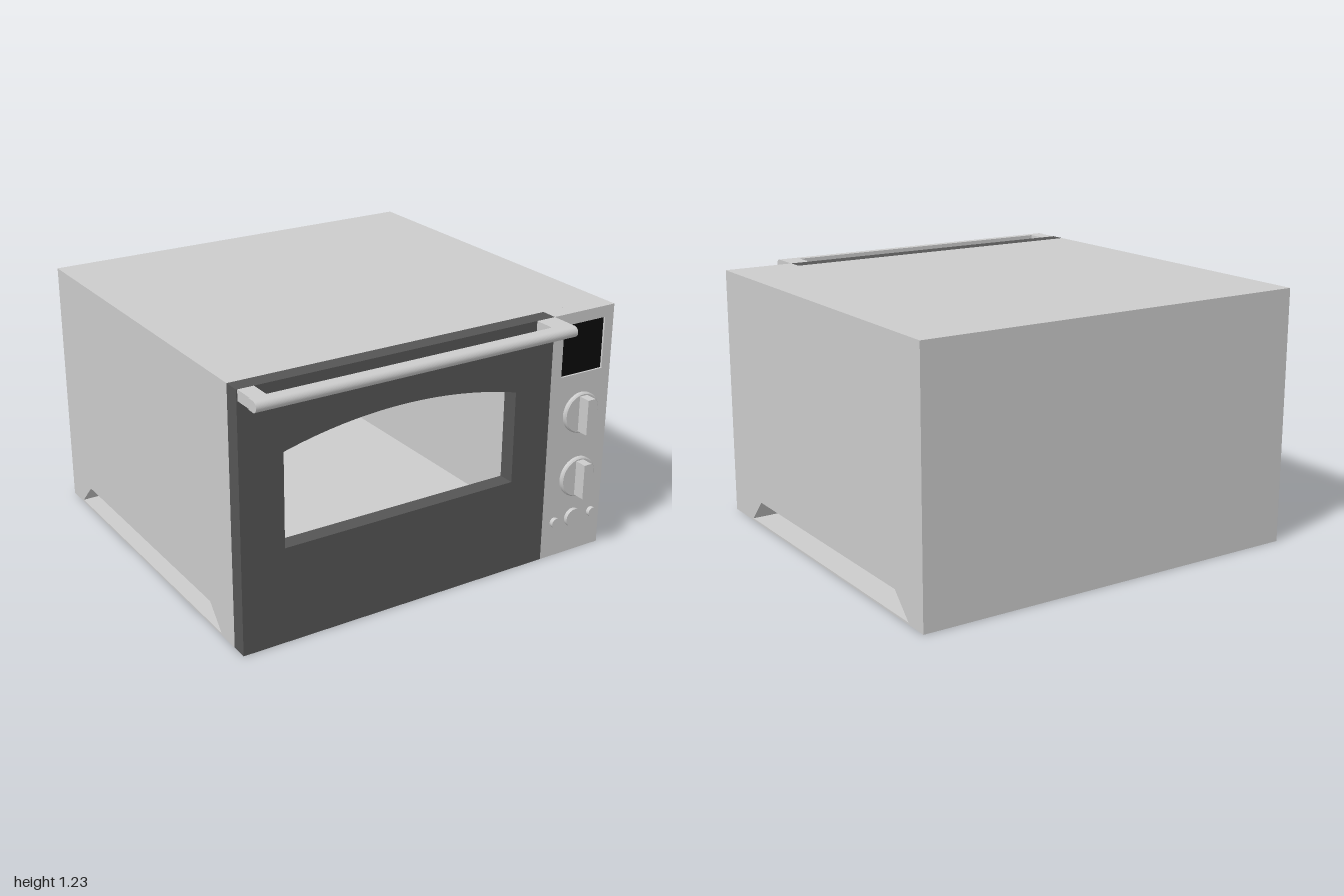
import * as THREE from 'three';

const grey = new THREE.MeshStandardMaterial({ color: 0xcccccc });
const dark = new THREE.MeshStandardMaterial({ color: 0x555555 });
const black = new THREE.MeshStandardMaterial({ color: 0x0a0a0a });

const W = 0.98, H = 1.225, BACK = -1, FRONT = 0.84, DOOR_BACK = 0.76, SPLIT = 0.63;

function rect(x0, x1, y0, y1, Type = THREE.Shape) {
  const s = new Type();
  s.moveTo(x0, y0).lineTo(x1, y0).lineTo(x1, y1).lineTo(x0, y1).closePath();
  return s;
}

function part(name, geometry, material = grey) {
  const m = new THREE.Mesh(geometry, material);
  m.name = name;
  return m;
}

function box(x0, x1, y0, y1, z0, z1) {
  return new THREE.BoxGeometry(x1 - x0, y1 - y0, z1 - z0)
    .translate((x0 + x1) / 2, (y0 + y1) / 2, (z0 + z1) / 2);
}

// Front outline pushed along z
function extrudeZ(shape, z0, z1) {
  return new THREE.ExtrudeGeometry(shape, { depth: z1 - z0, bevelEnabled: false, curveSegments: 24 })
    .translate(0, 0, z0);
}

// Side outline drawn in (z, y), pushed along x
function extrudeX(shape, x0, x1) {
  return new THREE.ExtrudeGeometry(shape, { depth: x1 - x0, bevelEnabled: false, curveSegments: 12 })
    .rotateY(-Math.PI / 2).translate(x1, 0, 0);
}

function disc(r, x, y, z0, z1, chamfer = 0) {
  const d = z1 - z0;
  const pts = [[0, 0], [r, 0], [r, 0], [r, d - chamfer], [r, d - chamfer], [r - chamfer, d], [r - chamfer, d], [0, d]]
    .map(([a, b]) => new THREE.Vector2(a, b));
  return new THREE.LatheGeometry(pts, 40).rotateX(Math.PI / 2).translate(x, y, z0);
}

export function createModel() {
  const model = new THREE.Group();
  model.name = 'toasterOven';

  // Base with the sloped slot running through from side to side
  const floorY = 0.17;
  const base = rect(BACK, DOOR_BACK, 0, floorY);
  const slot = new THREE.Path();
  slot.moveTo(-0.88, 0.01).lineTo(0.64, 0.01).lineTo(0.54, 0.12).lineTo(-0.77, 0.12).closePath();
  base.holes.push(slot);
  model.add(part('base', extrudeX(base, -W, W)));

  // Hollow housing around the cooking chamber
  const shell = rect(-W, W, floorY, H);
  shell.holes.push(rect(-0.96, 0.61, floorY + 0.001, H - 0.02, THREE.Path));
  model.add(part('housing', extrudeZ(shell, -0.98, DOOR_BACK)));
  model.add(part('backPanel', box(-W, W, floorY, H, BACK, -0.98)));

  // Door with an arched window opening
  const door = rect(-W, SPLIT, 0, H);
  const win = new THREE.Path();
  const cx = -0.17, half = 0.6, rise = 0.08, sideY = 0.905;
  const R = (half * half + rise * rise) / (2 * rise);
  const a = Math.asin(half / R);
  win.moveTo(cx - half, 0.46).lineTo(cx + half, 0.46).lineTo(cx + half, sideY);
  win.absarc(cx, sideY + rise - R, R, Math.PI / 2 - a, Math.PI / 2 + a, false);
  win.closePath();
  door.holes.push(win);
  model.add(part('door', extrudeZ(door, DOOR_BACK, FRONT), dark));

  // Handle: bar with a rounded front edge on two brackets
  const handle = new THREE.Group();
  handle.name = 'doorHandle';
  const r = 0.025, hy = H - r;
  const bar = new THREE.Shape();
  bar.moveTo(0.94, hy - r).lineTo(1 - r, hy - r);
  bar.absarc(1 - r, hy, r, -Math.PI / 2, Math.PI / 2, false);
  bar.lineTo(0.94, hy + r).closePath();
  handle.add(part('handleBar', extrudeX(bar, -0.98, SPLIT)));
  for (const [x0, x1] of [[-0.975, -0.9], [0.53, SPLIT]]) {
    handle.add(part('handleBracket', box(x0, x1, hy - r, hy + r, FRONT, 0.94)));
  }
  model.add(handle);

  // Control column with a recessed display
  const panel = rect(SPLIT, W, 0, H);
  panel.holes.push(rect(0.69, 0.93, 0.92, 1.17, THREE.Path));
  model.add(part('controlColumn', box(SPLIT, W, 0, H, DOOR_BACK, 0.82)));
  model.add(part('controlPanel', extrudeZ(panel, 0.82, FRONT)));
  model.add(part('display', box(0.69, 0.93, 0.92, 1.17, 0.815, 0.83), black));

  // Rotary knobs
  for (const [x, y] of [[0.815, 0.725], [0.82, 0.395]]) {
    const knob = new THREE.Group();
    knob.name = 'knob';
    knob.add(part('knobBase', disc(0.1, x, y, FRONT, 0.86, 0.006)));
    knob.add(part('knobGrip', box(x - 0.021, x + 0.021, y - 0.087, y + 0.087, 0.855, 0.92)));
    model.add(knob);
  }

  // Push buttons
  for (const [x, rad] of [[0.7, 0.024], [0.81, 0.046], [0.925, 0.024]]) {
    model.add(part('button', disc(rad, x, 0.18, FRONT, 0.86)));
  }
  return model;
}
